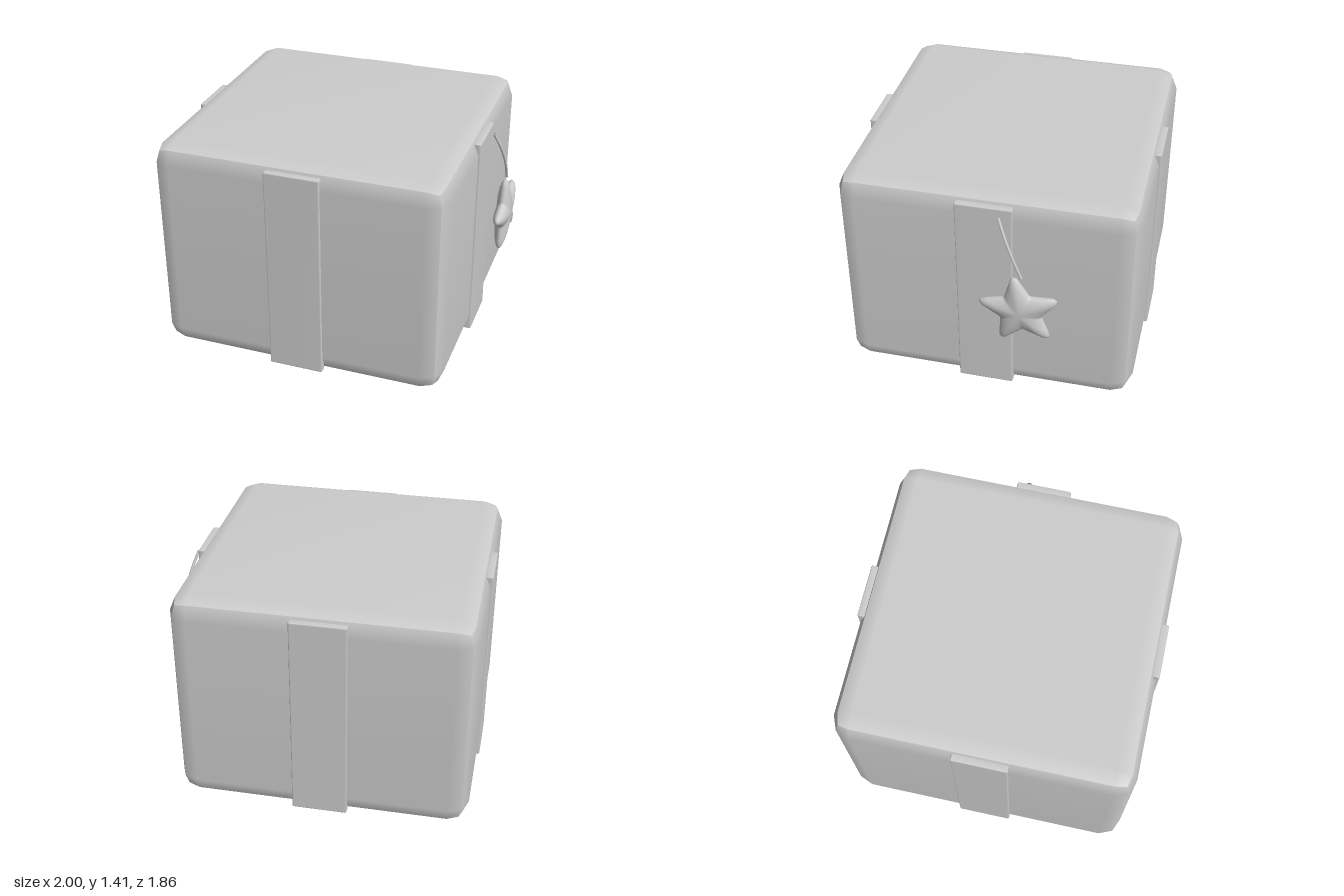
import * as THREE from 'three';
import { mergeVertices } from 'three/addons/utils/BufferGeometryUtils.js';

// Box with rounded edges, smooth on each side and creased where sides meet
function softBox(w, h, d, r) {
  const geo = new THREE.BoxGeometry(1, 1, 1, 3, 3, 3);
  const pos = geo.attributes.position;
  const v = new THREE.Vector3(), dir = new THREE.Vector3();
  for (let i = 0; i < pos.count; i++) {
    v.fromBufferAttribute(pos, i);
    const edge = (c) => (Math.abs(c) > 0.4 ? Math.sign(c) : 0);
    dir.set(edge(v.x), edge(v.y), edge(v.z)).normalize().multiplyScalar(r);
    pos.setXYZ(i,
      Math.sign(v.x) * (w / 2 - r) + dir.x,
      Math.sign(v.y) * (h / 2 - r) + dir.y,
      Math.sign(v.z) * (d / 2 - r) + dir.z);
  }
  geo.computeVertexNormals();
  return geo;
}

// Puffy five-pointed star facing x, with one point up
function puffyStar(tip, valley, halfDepth) {
  const geo = new THREE.SphereGeometry(1, 80, 32);
  geo.rotateZ(-Math.PI / 2);
  const pos = geo.attributes.position;
  const step = Math.PI / 5, sharp = tip * 1.13;
  for (let i = 0; i < pos.count; i++) {
    const y = pos.getY(i), z = pos.getZ(i);
    const a = Math.abs(Math.atan2(z, y)) % (2 * step);
    const p = Math.min(a, 2 * step - a);
    const edge = sharp * valley * Math.sin(step) /
      (sharp * Math.sin(p) + valley * Math.sin(step - p));
    const r = Math.min(edge, tip);
    pos.setXYZ(i, pos.getX(i) * halfDepth, y * r, z * r);
  }
  geo.deleteAttribute('uv');
  geo.deleteAttribute('normal');
  const merged = mergeVertices(geo, 1e-5);
  merged.computeVertexNormals();
  return merged;
}

export function createModel() {
  const group = new THREE.Group();
  const grey = new THREE.MeshStandardMaterial({ color: 0xcccccc, side: THREE.DoubleSide });
  grey.name = 'light grey';

  const add = (name, geo, x, y, z) => {
    const mesh = new THREE.Mesh(geo, grey);
    mesh.name = name;
    mesh.position.set(x, y, z);
    group.add(mesh);
    return mesh;
  };

  // Gift box
  const cx = -0.07, cz = -0.003;
  add('box', softBox(1.83, 1.412, 1.83, 0.125), cx, 0.711, cz);

  // Ribbon bands on the four sides
  for (const s of [-1, 1]) {
    add(s > 0 ? 'frontRibbon' : 'backRibbon',
      softBox(0.345, 1.342, 0.05, 0.01), cx, 0.695, cz + s * 0.905);
    add(s > 0 ? 'leftRibbon' : 'rightRibbon',
      softBox(0.05, 1.342, 0.345, 0.01), cx + s * 0.905, 0.695, cz);
  }

  // Hanging star ornament
  const star = add('star', puffyStar(0.25, 0.133, 0.05), 0.95, 0.715, -0.242);
  star.rotation.x = 0.16;

  // String holding the star
  const path = new THREE.CatmullRomCurve3([
    new THREE.Vector3(0.88, 1.322, -0.10),
    new THREE.Vector3(0.92, 1.21, -0.147),
    new THREE.Vector3(0.945, 1.085, -0.2),
    new THREE.Vector3(0.95, 0.962, -0.25),
  ]);
  add('string', new THREE.TubeGeometry(path, 20, 0.009, 8), 0, 0, 0);

  return group;
}
